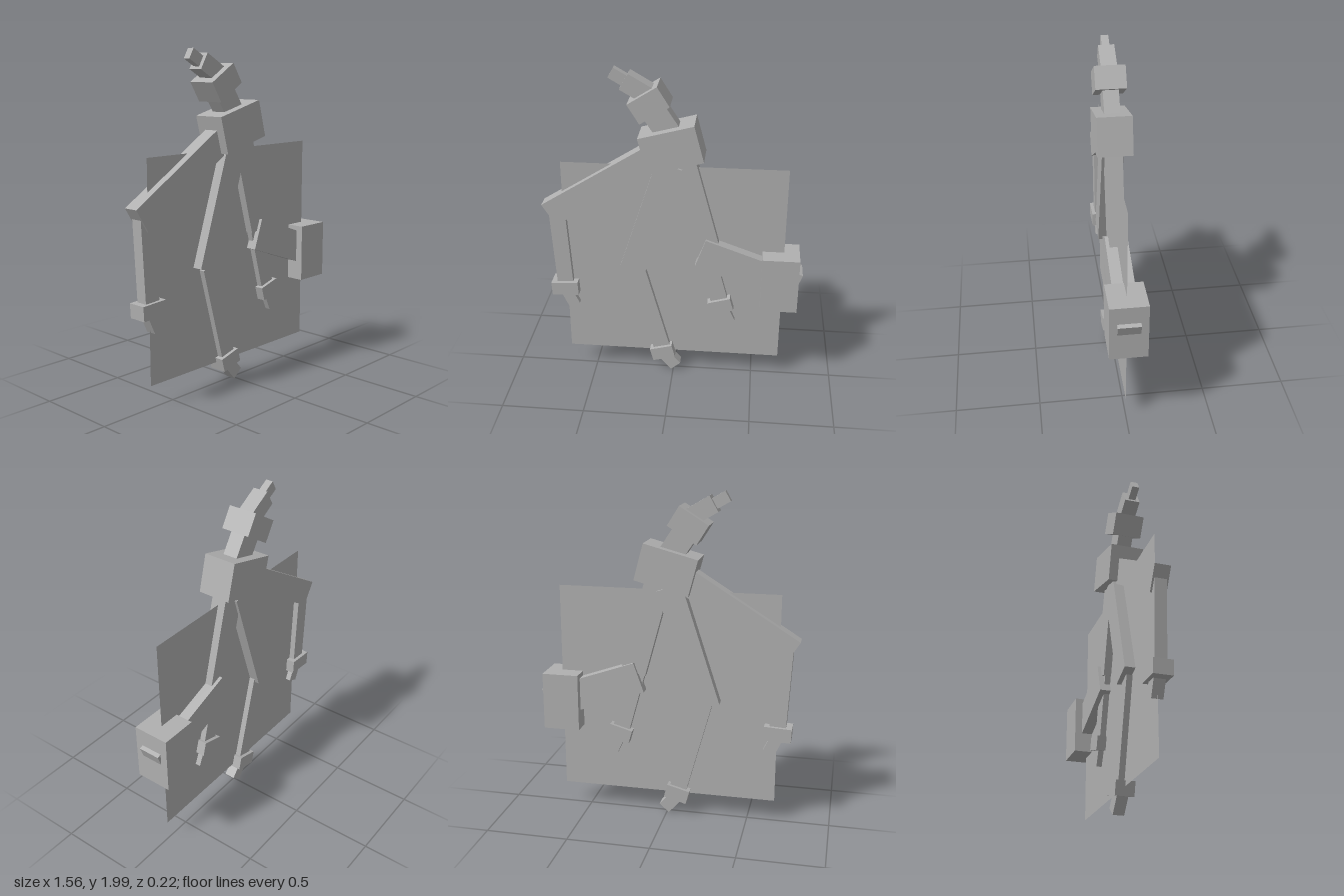
import * as THREE from 'three';

export function createModel() {
  const model = new THREE.Group();
  const grey = new THREE.MeshStandardMaterial({ color: 0xb0b0b0, side: THREE.DoubleSide });
  grey.name = 'plain grey';

  // Box whose local y axis runs from (x1, y1) to (x2, y2)
  function bar(name, x1, y1, x2, y2, width, depth) {
    const length = Math.hypot(x2 - x1, y2 - y1);
    const mesh = new THREE.Mesh(new THREE.BoxGeometry(width, length, depth), grey);
    mesh.name = name;
    mesh.position.set((x1 + x2) / 2, (y1 + y2) / 2, 0);
    mesh.rotation.z = Math.atan2(y2 - y1, x2 - x1) - Math.PI / 2;
    model.add(mesh);
  }

  // Box given by its centre, size and tilt in degrees
  function block(name, x, y, width, height, depth, degrees = 0) {
    const mesh = new THREE.Mesh(new THREE.BoxGeometry(width, height, depth), grey);
    mesh.name = name;
    mesh.position.set(x, y, 0);
    mesh.rotation.z = THREE.MathUtils.degToRad(degrees);
    model.add(mesh);
  }

  // Flat upright panel through the middle
  const panel = new THREE.Mesh(new THREE.PlaneGeometry(1.33, 1.285), grey);
  panel.name = 'backPanel';
  panel.position.y = 0.78;
  model.add(panel);

  // Body, neck and head
  block('body', -0.007, 1.555, 0.331, 0.222, 0.2, 14.9);
  bar('neck', -0.135, 1.805, -0.024, 1.637, 0.145, 0.09);
  block('head', -0.132, 1.81, 0.2, 0.132, 0.176, 32);
  bar('snout', -0.272, 1.93, -0.13, 1.848, 0.104, 0.092);
  bar('snoutTip', -0.347, 1.972, -0.26, 1.922, 0.066, 0.044);

  // Right arm
  bar('rightUpperArm', -0.743, 1.094, -0.09, 1.502, 0.155, 0.092);
  bar('rightForearm', -0.696, 1.1, -0.67, 0.61, 0.098, 0.07);
  block('rightCuff', -0.672, 0.59, 0.165, 0.086, 0.112, 3);
  bar('rightHand', -0.665, 0.557, -0.622, 0.463, 0.074, 0.066);

  // Middle leg
  bar('middleThigh', -0.251, 0.735, -0.019, 1.447, 0.155, 0.125);
  bar('middleShin', -0.225, 0.748, -0.071, 0.176, 0.104, 0.07);
  block('middleCuff', -0.066, 0.145, 0.143, 0.085, 0.112, 15);
  bar('middleFoot', -0.061, 0.123, 0.016, 0.033, 0.079, 0.066);

  // Left leg
  bar('leftThigh', 0.204, 0.917, 0.034, 1.541, 0.152, 0.092);
  bar('leftShin', 0.185, 0.917, 0.288, 0.541, 0.104, 0.07);
  block('leftCuff', 0.294, 0.517, 0.143, 0.085, 0.112, 16);
  bar('leftFoot', 0.304, 0.494, 0.349, 0.394, 0.077, 0.066);

  // Thick side arm running through the large block
  bar('sideArm', 0.166, 0.89, 0.749, 0.684, 0.19, 0.132);
  block('sideBlock', 0.646, 0.715, 0.222, 0.35, 0.22);

  return model;
}
